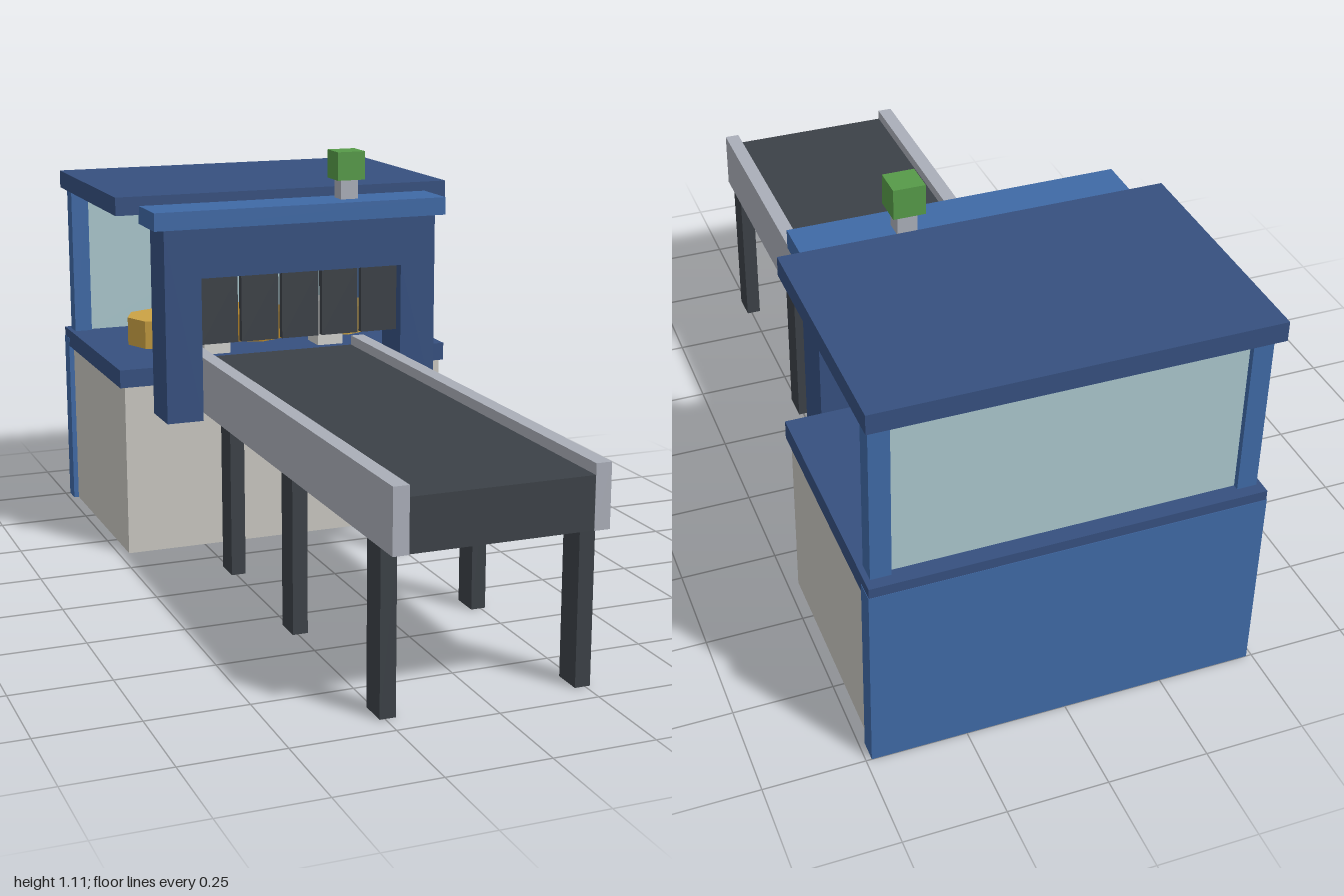
import * as THREE from 'three';

export function createModel() {
  const group = new THREE.Group();
  const mat = (name, color) => {
    const m = new THREE.MeshStandardMaterial({ color });
    m.name = name;
    return m;
  };
  const navy = mat('navy', 0x36507f);
  const blue = mat('blue', 0x3f69a5);
  const glass = mat('pale glass', 0xa9c6cc);
  const stone = mat('warm grey', 0xc8c6c0);
  const dark = mat('charcoal', 0x3c4147);
  const steel = mat('steel', 0xaaaeb8);
  const green = mat('green', 0x569a48);
  const gold = mat('gold', 0xcba244);
  const bronze = mat('bronze', 0xb38429);
  const white = mat('light grey', 0xcfcfcc);

  // Box given by its limits on each axis
  const box = (name, m, [x0, x1], [y0, y1], [z0, z1]) => {
    const mesh = new THREE.Mesh(new THREE.BoxGeometry(x1 - x0, y1 - y0, z1 - z0), m);
    mesh.position.set((x0 + x1) / 2, (y0 + y1) / 2, (z0 + z1) / 2);
    mesh.name = name;
    group.add(mesh);
  };
  // The same box on both sides
  const pair = (name, m, [x0, x1], y, z) => {
    box(name + 'Left', m, [x0, x1], y, z);
    box(name + 'Right', m, [-x1, -x0], y, z);
  };

  // Booth
  box('cabinet', stone, [-0.472, 0.472], [0, 0.476], [-0.95, -0.37]);
  box('backPanel', blue, [-0.486, 0.486], [0, 0.5], [-1, -0.948]);
  box('counter', navy, [-0.485, 0.485], [0.476, 0.526], [-0.999, -0.368]);
  pair('roofPost', blue, [0.422, 0.472], [0.526, 0.95], [-0.97, -0.92]);
  box('rearWindow', glass, [-0.422, 0.422], [0.526, 0.95], [-0.955, -0.935]);
  box('roof', navy, [-0.485, 0.485], [0.95, 1], [-1, -0.37]);

  // Arch over the conveyor
  const arch = new THREE.Shape([
    [-0.392, 0.398], [-0.29, 0.398], [-0.29, 0.79], [0.29, 0.79],
    [0.29, 0.398], [0.392, 0.398], [0.392, 0.925], [-0.392, 0.925],
  ].map(([x, y]) => new THREE.Vector2(x, y)));
  const archMesh = new THREE.Mesh(
    new THREE.ExtrudeGeometry(arch, { depth: 0.13, bevelEnabled: false }), navy);
  archMesh.position.z = -0.365;
  archMesh.name = 'arch';
  group.add(archMesh);
  box('archCap', blue, [-0.42, 0.42], [0.925, 0.974], [-0.377, -0.226]);

  // Hanging curtain
  for (let i = 0; i < 5; i++) {
    const x = -0.291 + i * 0.1165;
    box('curtainStrip' + (i + 1), dark, [x, x + 0.106], [0.607, 0.79], [-0.265, -0.245]);
  }

  // Signal lamp
  box('lampStem', steel, [0.132, 0.182], [0.974, 1.03], [-0.338, -0.288]);
  box('lamp', green, [0.117, 0.197], [1.028, 1.106], [-0.352, -0.272]);

  // Conveyor
  box('belt', dark, [-0.224, 0.224], [0.399, 0.527], [-0.44, 0.999]);
  pair('sideRail', steel, [0.224, 0.263], [0.398, 0.554], [-0.44, 1]);
  for (const z of [0.897, 0.347, -0.128]) {
    pair('conveyorLeg', dark, [0.224, 0.263], [0, 0.398], [z - 0.038, z + 0.038]);
  }

  // Trays and blocks on the counter
  for (const x of [-0.27, 0, 0.27]) {
    const geo = new THREE.CylinderGeometry(0.105, 0.105, 0.08, 8).toNonIndexed();
    geo.computeVertexNormals();
    const tray = new THREE.Mesh(geo, x ? gold : bronze);
    tray.position.set(x, 0.566, -0.681);
    tray.name = 'tray';
    group.add(tray);
  }
  pair('counterBlock', white, [0.133, 0.21], [0.526, 0.657], [-0.55, -0.47]);

  return group;
}
